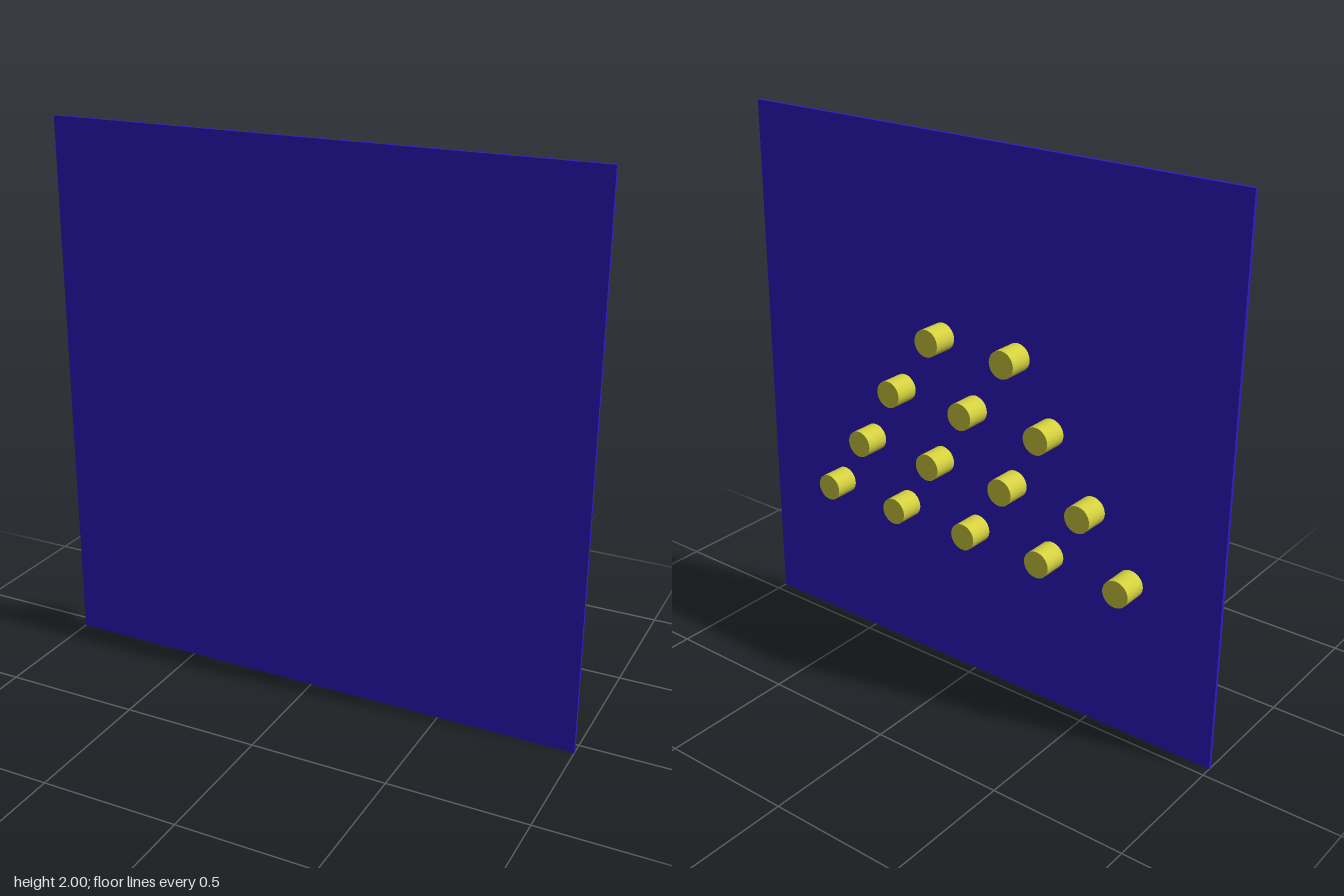
import * as THREE from 'three';

export function createModel() {
  const model = new THREE.Group();
  const blue = new THREE.MeshStandardMaterial({ color: 0x2f1bcb });
  const yellow = new THREE.MeshStandardMaterial({ color: 0xd4d03f });

  // Thin square panel at the front
  const depth = 0.013, frontZ = 0.053;
  const panel = new THREE.Mesh(new THREE.BoxGeometry(2, 2, depth), blue);
  panel.name = 'panel';
  panel.position.set(0, 1, frontZ - depth / 2);
  model.add(panel);

  // Round pegs on the back, in a triangle of rows
  const pegLength = 0.095;
  const pegGeometry = new THREE.CylinderGeometry(0.05, 0.05, pegLength, 32).rotateX(Math.PI / 2);
  const rows = [
    { y: 0.595, count: 5, centre: -0.01 },
    { y: 0.82, count: 4, centre: -0.01 },
    { y: 1.055, count: 3, centre: 0.004 },
    { y: 1.29, count: 2, centre: -0.013 },
  ];
  const pegs = new THREE.Group();
  pegs.name = 'pegs';
  for (const { y, count, centre } of rows) {
    for (let i = 0; i < count; i++) {
      const peg = new THREE.Mesh(pegGeometry, yellow);
      peg.name = 'peg';
      peg.position.set(centre + (i - (count - 1) / 2) * 0.322, y, -frontZ + pegLength / 2);
      pegs.add(peg);
    }
  }
  model.add(pegs);
  return model;
}
